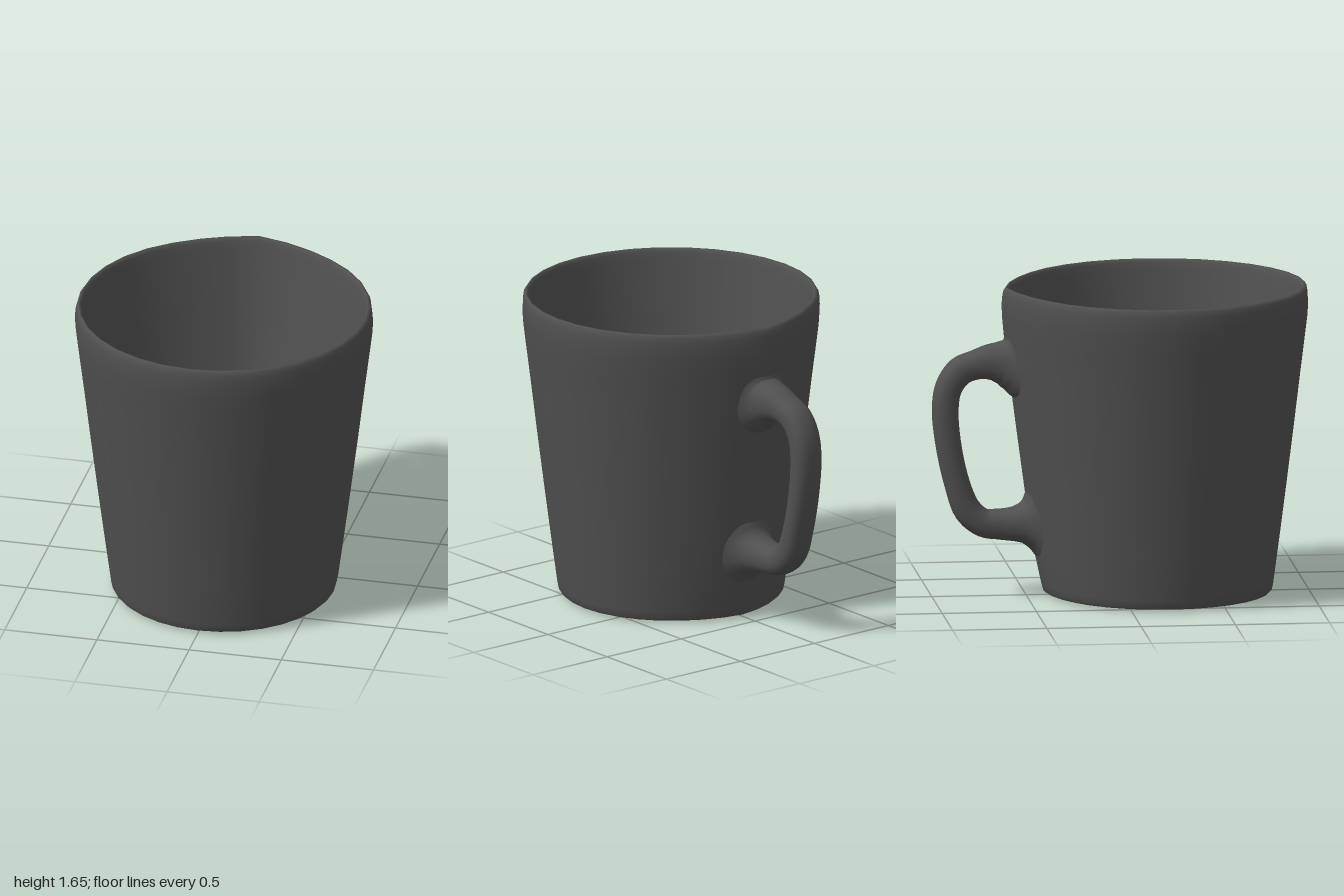
import * as THREE from 'three';
import { mergeVertices } from 'three/addons/utils/BufferGeometryUtils.js';

const CENTRE_Z = 0.208;

// how far the back of the body is drawn out into a soft ridge, by height
const ridge = (y) => (y < 0.3 ? 0.02 + 0.083 * y : 0.045 + 0.01 * (y - 0.3) - 0.04 * Math.max(0, y - 1.4));
const bulge = (y, fromBack) => ridge(y) * Math.pow(Math.max(0, 1 - fromBack / 0.55), 1.5);

// z of the outer wall at the back, for a given x and y
function backWall(x, y) {
  const r = 0.602 + 0.126 * (y - 0.06);
  const outer = r + bulge(y, Math.asin(Math.min(1, Math.abs(x) / r)));
  return CENTRE_Z - Math.sqrt(outer * outer - x * x);
}

// cup wall: outside from base to rim, then inside down to the floor
function bodyGeometry() {
  const profile = [
    [0, 0], [0.4, 0.003], [0.565, 0.008], [0.583, 0.011], [0.594, 0.022], [0.602, 0.06], [0.618, 0.18],
    [0.634, 0.3], [0.67, 0.58], [0.71, 0.9], [0.746, 1.2], [0.771, 1.4], [0.782, 1.49],
    [0.787, 1.56], [0.784, 1.61], [0.779, 1.635], [0.77, 1.65], [0.76, 1.648], [0.752, 1.63],
    [0.744, 1.59], [0.73, 1.51], [0.676, 1.2], [0.622, 0.9], [0.568, 0.6], [0.518, 0.32],
    [0.506, 0.25], [0.499, 0.213], [0.486, 0.2], [0.46, 0.2], [0.3, 0.2], [0, 0.2],
  ].map(([r, y]) => new THREE.Vector2(r, y));
  const g = new THREE.LatheGeometry(profile, 32);
  const p = g.attributes.position;
  for (let i = 0; i < p.count; i++) {
    const x = p.getX(i), y = p.getY(i), z = p.getZ(i);
    const r = Math.hypot(x, z);
    const bump = bulge(y, Math.abs(Math.atan2(x, -z))) * Math.min(1, r / 0.45);
    const k = r > 1e-4 ? (r + bump) / r : 1;
    p.setXYZ(i, x * k, y, z * k + CENTRE_Z);
  }
  g.deleteAttribute('normal');
  g.deleteAttribute('uv');
  const merged = mergeVertices(g);
  merged.computeVertexNormals();
  return merged;
}

// handle: rounded oblong sections lofted along a loop, with fillets at the wall
function handleGeometry() {
  // z, y, half thickness, half width
  const stations = [
    [-0.582, 1.24, 0.2, 0.19], [-0.6, 1.24, 0.168, 0.155], [-0.62, 1.242, 0.135, 0.13],
    [-0.65, 1.247, 0.112, 0.112], [-0.7, 1.25, 0.093, 0.097],
    [-0.77, 1.237, 0.077, 0.086], [-0.85, 1.205, 0.075, 0.084], [-0.91, 1.12, 0.071, 0.084],
    [-0.929, 1.0, 0.07, 0.084], [-0.91, 0.8, 0.068, 0.084], [-0.865, 0.6, 0.068, 0.084],
    [-0.81, 0.46, 0.074, 0.084], [-0.73, 0.392, 0.075, 0.086], [-0.64, 0.382, 0.081, 0.09],
    [-0.57, 0.381, 0.09, 0.103], [-0.53, 0.382, 0.106, 0.117], [-0.502, 0.382, 0.133, 0.138],
    [-0.482, 0.382, 0.17, 0.163], [-0.463, 0.382, 0.205, 0.19],
  ];
  const path = new THREE.CatmullRomCurve3(stations.map(([z, y]) => new THREE.Vector3(0, y, z)));
  const size = new THREE.CatmullRomCurve3(
    stations.map(([, , t, w]) => new THREE.Vector3(t, w, 0)), false, 'catmullrom');
  const rings = 90, sides = 24, pos = [], index = [];
  const soft = (v) => Math.sign(v) * Math.pow(Math.abs(v), 0.85);
  for (let i = 0; i <= rings; i++) {
    const u = i / rings;
    const c = path.getPoint(u), d = path.getTangent(u), s = size.getPoint(u);
    // near the body the sections bend to follow the wall
    const wall = backWall(0, c.y);
    const follow = 1 - THREE.MathUtils.smoothstep(wall - c.z, 0, 0.16);
    for (let j = 0; j < sides; j++) {
      const a = (j / sides) * Math.PI * 2;
      const n = s.x * soft(Math.cos(a));
      const x = s.y * soft(Math.sin(a)), y = c.y - d.z * n;
      pos.push(x, y, c.z + d.y * n + follow * (backWall(x, y) - wall));
      if (i < rings) {
        const k = (j + 1) % sides;
        const p = i * sides + j, q = i * sides + k;
        index.push(p, q, p + sides, q, q + sides, p + sides);
      }
    }
  }
  const g = new THREE.BufferGeometry();
  g.setAttribute('position', new THREE.Float32BufferAttribute(pos, 3));
  g.setIndex(index);
  g.computeVertexNormals();
  return g;
}

export function createModel() {
  const group = new THREE.Group();
  group.name = 'mug';
  const material = new THREE.MeshStandardMaterial({ color: 0x505050 });
  const add = (name, geometry) => {
    const mesh = new THREE.Mesh(geometry, material);
    mesh.name = name;
    group.add(mesh);
  };
  add('body', bodyGeometry());
  add('handle', handleGeometry());
  return group;
}
